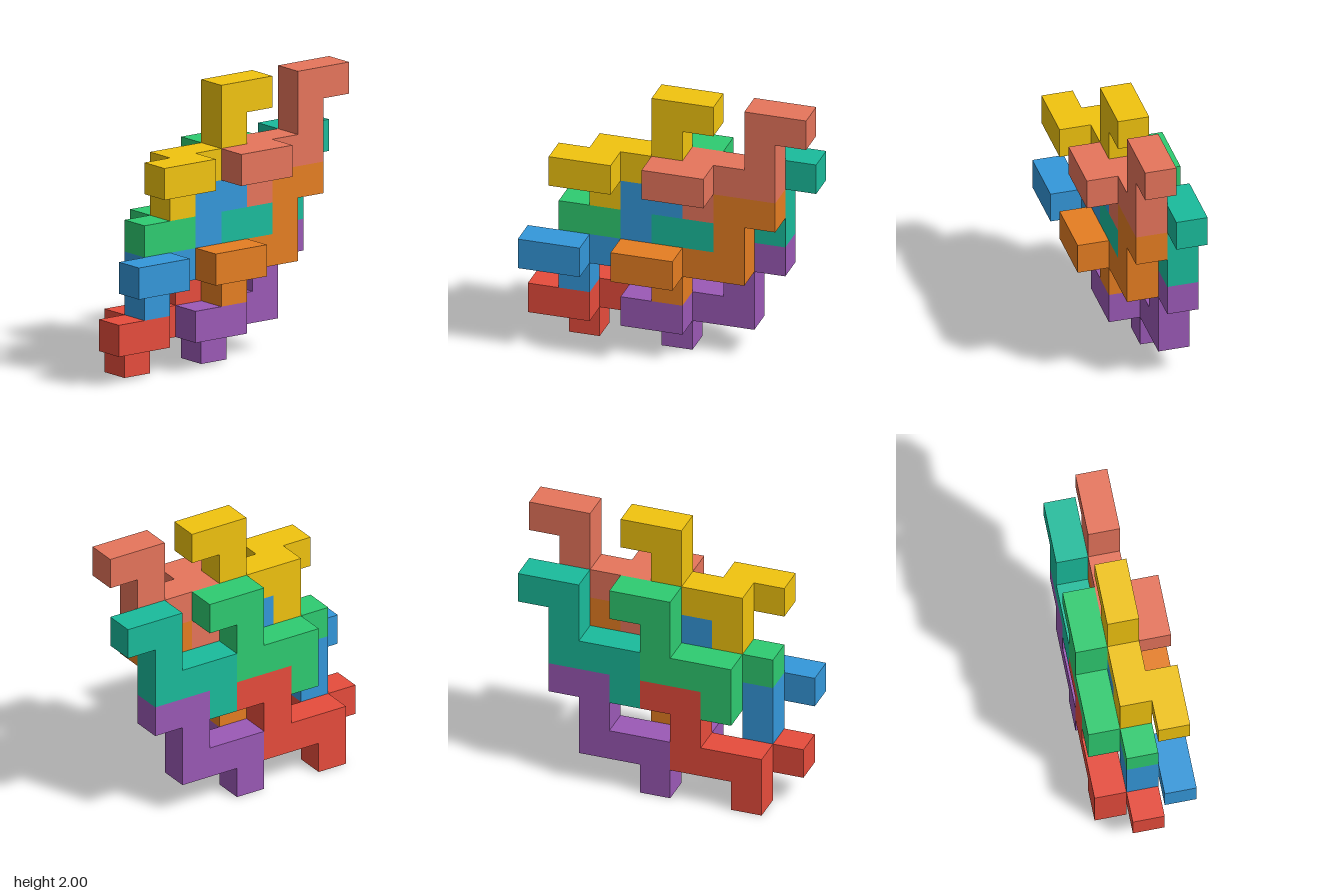
import * as THREE from 'three';

const U = 2 / 9; // edge of one cube cell

// Stepped outline of a piece's flat body, in cells
const OUTLINE = [[1, -1], [2, -1], [2, 0], [4, 0], [4, 2], [5, 2], [5, 3], [3, 3], [3, 1], [1, 1]];

// name, color, column, row, layer of each interlocking piece
const PIECES = [
  ['salmonPiece', 0xe7755c, 4, 6, 0],
  ['yellowPiece', 0xf1c40f, 1, 6, 0],
  ['orangePiece', 0xe67e22, 3, 3, 0],
  ['bluePiece', 0x3498db, 0, 3, 0],
  ['tealPiece', 0x1abc9c, 4, 4, -1],
  ['greenPiece', 0x2ecc71, 1, 4, -1],
  ['purplePiece', 0x9b59b6, 3, 1, -1],
  ['redPiece', 0xe74c3c, 0, 1, -1],
];

export function createModel() {
  const model = new THREE.Group();
  model.name = 'polycubeTiling';

  // Flat stepped body, one cell thick
  const outline = new THREE.Shape(OUTLINE.map(([x, y]) => new THREE.Vector2(x * U, y * U)));
  const bodyGeometry = new THREE.ExtrudeGeometry(outline, { depth: U, bevelEnabled: false });
  bodyGeometry.translate(0, 0, -U / 2);

  // Two-cell bar standing one layer in front of the body
  const barGeometry = new THREE.BoxGeometry(2 * U, U, U);
  barGeometry.translate(U, U / 2, U);

  for (const [name, color, column, row, layer] of PIECES) {
    const material = new THREE.MeshStandardMaterial({ color });
    const body = new THREE.Mesh(bodyGeometry, material);
    body.name = 'steppedBody';
    const bar = new THREE.Mesh(barGeometry, material);
    bar.name = 'frontBar';

    const piece = new THREE.Group();
    piece.name = name;
    piece.add(body, bar);
    piece.position.set((column - 4.5) * U, row * U, layer * U);
    model.add(piece);
  }
  return model;
}
